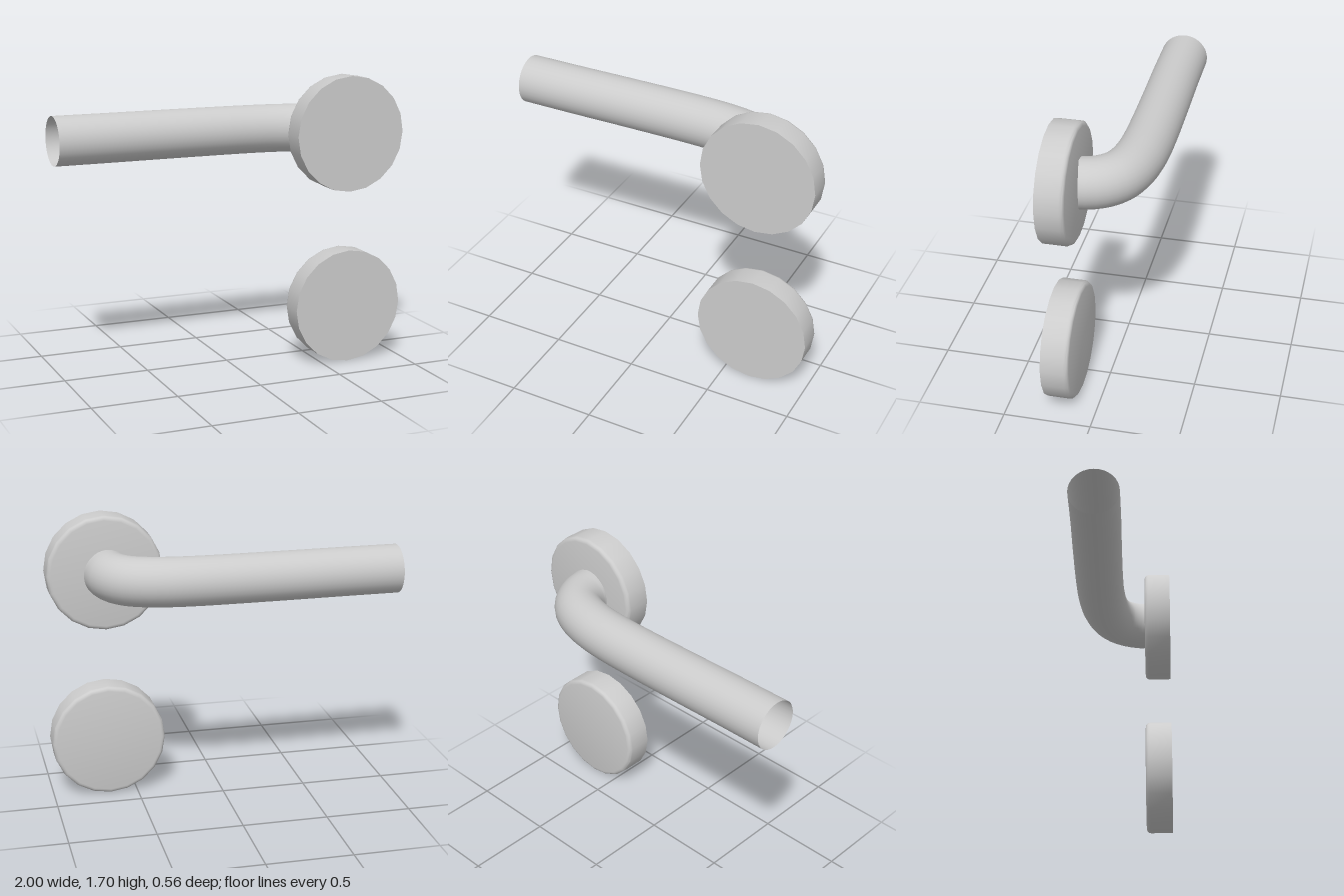
import * as THREE from 'three';
import { toCreasedNormals } from 'three/addons/utils/BufferGeometryUtils.js';

const X = 0.663, UPPER_Y = 1.366, LOWER_Y = 0.341;
const FACE_Z = 0.28, DEPTH = 0.157, RADIUS = 0.337, EDGE = 0.025;

// Round plate: flat toward +z, rounded rim toward -z
function roseGeometry() {
  const profile = [new THREE.Vector2(0, 0), new THREE.Vector2(RADIUS, 0)];
  for (let i = 0; i <= 4; i++) {
    const a = (i / 4) * Math.PI / 2;
    profile.push(new THREE.Vector2(
      RADIUS - EDGE + EDGE * Math.cos(a),
      DEPTH - EDGE + EDGE * Math.sin(a)
    ));
  }
  profile.push(new THREE.Vector2(0, DEPTH));
  const geometry = new THREE.LatheGeometry(profile, 20);
  geometry.rotateX(-Math.PI / 2);
  return toCreasedNormals(geometry, 0.7);
}

export function createModel() {
  const group = new THREE.Group();
  const material = new THREE.MeshStandardMaterial({ color: 0xcccccc });
  const tubeMaterial = new THREE.MeshStandardMaterial({ color: 0xcccccc, side: THREE.DoubleSide });

  // Upper plate carries the lever, lower plate covers the keyhole
  const rose = roseGeometry();
  for (const [name, y] of [['handlePlate', UPPER_Y], ['lowerPlate', LOWER_Y]]) {
    const plate = new THREE.Mesh(rose, material);
    plate.name = name;
    plate.position.set(X, y, FACE_Z);
    group.add(plate);
  }

  // Lever: open-ended tube, nearly straight, then bending into the plate
  const path = new THREE.CatmullRomCurve3([
    [-1, -0.131], [-0.7, -0.133], [-0.35, -0.139], [0, -0.142], [0.2, -0.138],
    [0.35, -0.124], [0.477, -0.093], [0.555, -0.053], [0.606, 0], [0.638, 0.062], [0.65, 0.125],
  ].map(([x, z]) => new THREE.Vector3(x, UPPER_Y, z)));
  const lever = new THREE.Mesh(new THREE.TubeGeometry(path, 48, 0.142, 32), tubeMaterial);
  lever.name = 'lever';
  group.add(lever);

  return group;
}
